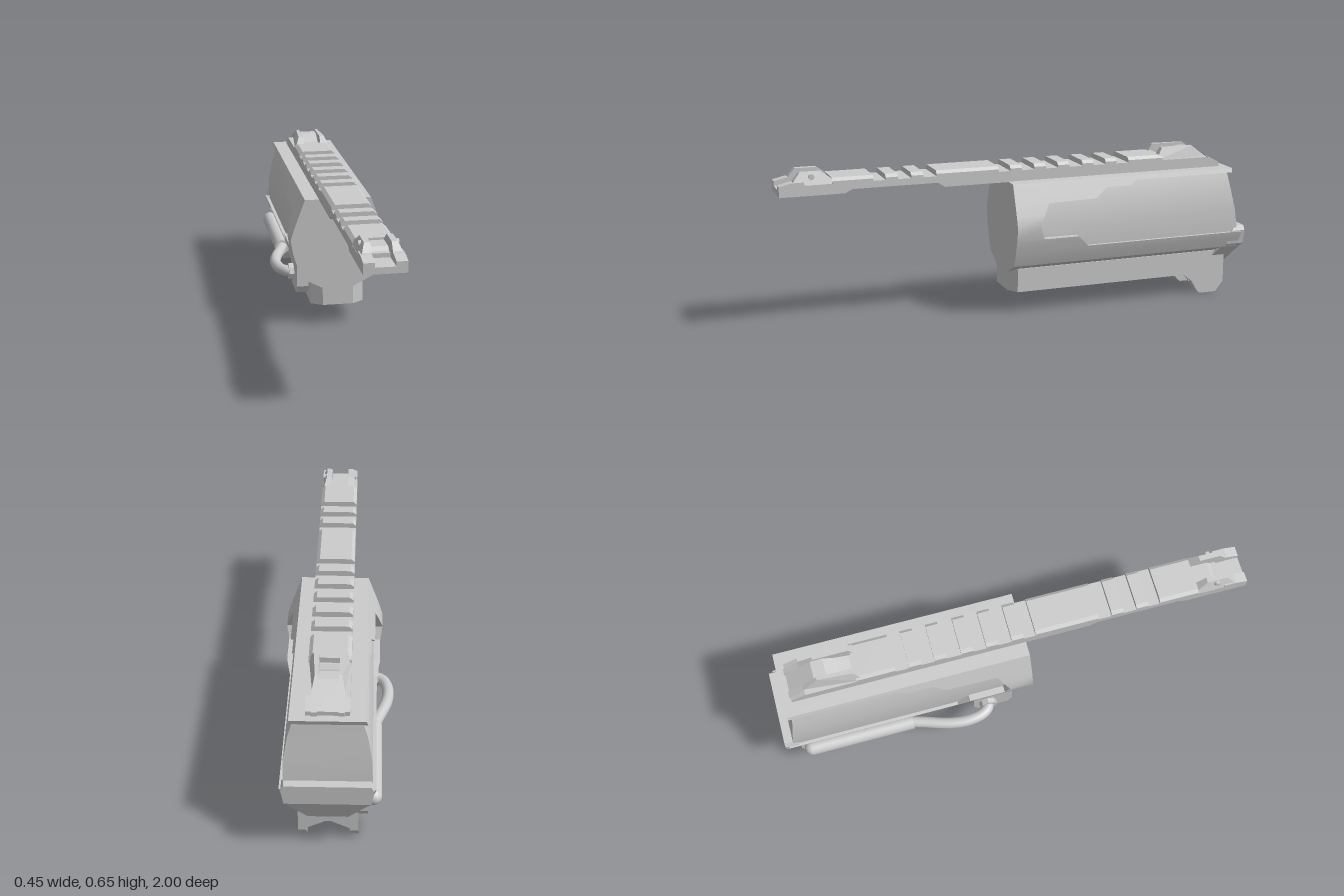
import * as THREE from 'three';
import { toCreasedNormals } from 'three/addons/utils/BufferGeometryUtils.js';

const CX = 0.024; // symmetry plane of the main body
const material = new THREE.MeshStandardMaterial({ color: 0xcccccc });

function part(parent, name, geometry) {
  const mesh = new THREE.Mesh(geometry, material);
  mesh.name = name;
  parent.add(mesh);
  return mesh;
}

// Stack of rectangles, bottom to top: [y, half width, front z, back z]
function stack(rows) {
  const pos = [];
  const rings = rows.map(([y, h, f, b]) => [[h, y, f], [h, y, b], [-h, y, b], [-h, y, f]]);
  const quad = (a, b, c, d) => pos.push(...a, ...b, ...c, ...a, ...c, ...d);
  for (let i = 0; i < rings.length - 1; i++) {
    const lo = rings[i], hi = rings[i + 1];
    for (let k = 0; k < 4; k++) {
      const n = (k + 1) % 4;
      quad(lo[k], lo[n], hi[n], hi[k]);
    }
  }
  quad(...rings[rings.length - 1]);
  quad(...[...rings[0]].reverse());
  const g = new THREE.BufferGeometry();
  g.setAttribute('position', new THREE.Float32BufferAttribute(pos, 3));
  return toCreasedNormals(g, 0.5);
}

// Side outline of [z, y] points, extruded across x and centred on x
function slab(points, width, x = 0) {
  const shape = new THREE.Shape(points.map(([z, y]) => new THREE.Vector2(z, y)));
  const g = new THREE.ExtrudeGeometry(shape, { depth: width, bevelEnabled: false });
  return g.rotateY(-Math.PI / 2).translate(x + width / 2, 0, 0);
}

// Half width of the outer shell at height y
const PROFILE = [[0.17, 0.07], [0.213, 0.152], [0.26, 0.171], [0.325, 0.19], [0.383, 0.2], [0.43, 0.186], [0.48, 0.168], [0.558, 0.139]];
function shellHalf(y) {
  for (let i = 1; i < PROFILE.length; i++) {
    const [y0, h0] = PROFILE[i - 1], [y1, h1] = PROFILE[i];
    if (y <= y1) return h0 + (h1 - h0) * (y - y0) / (y1 - y0);
  }
  return 0.139;
}

function addBody(g) {
  // Shell: the back edge steps forward around the recessed side panel
  const edge = [[0.17, -0.95], [0.213, -0.97], [0.26, -0.98], [0.282, -0.985], [0.2825, -0.26],
    [0.325, -0.215], [0.33, -0.21], [0.3305, -0.06], [0.383, -0.04], [0.43, -0.063], [0.475, -0.085],
    [0.48, -0.3], [0.52, -0.35], [0.5205, -0.46], [0.54, -0.49], [0.5405, -0.94], [0.558, -0.945]];
  part(g, 'outerShell', stack(edge.map(([y, z]) => [y, shellHalf(y), 0.06, z])));
  part(g, 'innerCore', stack([[0.25, 0.163, 0, -0.97], [0.3, 0.164, 0, -0.965], [0.383, 0.162, 0, -0.953],
    [0.48, 0.145, 0, -0.935], [0.545, 0.125, 0, -0.925]]));
  part(g, 'rearLip', stack([[0.12, 0.075, -0.85, -0.945], [0.21, 0.148, -0.9, -0.99],
    [0.225, 0.16, -0.92, -1], [0.285, 0.17, -0.94, -1], [0.305, 0.16, -0.955, -1]]));
}

function addUnderbody(g) {
  // Keel with chamfered front corners
  const plan = new THREE.Shape([[-0.065, 0.06], [0.065, 0.06], [0.113, 0.03], [0.113, -0.935], [-0.113, -0.935], [-0.113, 0.03]]
    .map(([x, z]) => new THREE.Vector2(x, -z)));
  part(g, 'keel', new THREE.ExtrudeGeometry(plan, { depth: 0.1, bevelEnabled: false })
    .rotateX(-Math.PI / 2).translate(0, 0.09, 0));
  // Feet at the back, with an inverted V between them
  const foot = [[-0.72, 0.1], [-0.74, 0.09], [-0.78, 0.06], [-0.81, 0.01], [-0.825, 0], [-0.9, 0], [-0.935, 0.045], [-0.935, 0.11]];
  for (const s of [-1, 1]) {
    part(g, s > 0 ? 'leftFoot' : 'rightFoot', slab(foot, 0.032, s * 0.097));
    const web = new THREE.Shape([[0, 0.09], [s * 0.082, 0.05], [s * 0.082, 0.092]].map(([x, y]) => new THREE.Vector2(x, y)));
    part(g, 'footWeb', new THREE.ExtrudeGeometry(web, { depth: 0.15, bevelEnabled: false }).translate(0, 0, -0.93));
  }
}

function addRail(g) {
  part(g, 'railBase', slab([[0.9, 0.56], [0.74, 0.56], [0.71, 0.575], [0.36, 0.575], [0.33, 0.556],
    [-0.91, 0.556], [-0.91, 0.575], [-0.85, 0.602], [0.9, 0.602]], 0.16));
  part(g, 'railNose', stack([[0.56, 0.08, 1, 0.9], [0.585, 0.08, 1, 0.9]]));
  for (const s of [-1, 1])
    part(g, 'noseCheek', slab([[1, 0.585], [1, 0.603], [0.95, 0.615], [0.9, 0.615], [0.9, 0.585]], 0.042, s * 0.059));
  // Raised ribs: [front z, back z]
  const ribs = [[0.79, 0.625], [0.365, 0.1], [-0.48, -0.64]];
  for (const z of [0.575, 0.47, 0.05, -0.055, -0.16, -0.27, -0.375]) ribs.push([z, z - 0.05]);
  for (const [f, b] of ribs)
    part(g, 'railRib', stack([[0.6, 0.08, f, b], [0.612, 0.08, f, b], [0.624, 0.066, f, b]]));
}

function addSights(g) {
  const ear = (name, outline, s, backTaper) => {
    const geo = slab(outline, 0.042, 0.059);
    const p = geo.attributes.position;
    // Lean the outer wall inward with height, and toward the back if tapered
    for (let i = 0; i < p.count; i++) {
      const y = p.getY(i), z = p.getZ(i);
      const lean = Math.max(0, y - 0.6) * 0.38;
      const taper = backTaper ? Math.max(0, -0.64 - z) * 0.07 : 0;
      if (p.getX(i) > 0.06) p.setX(i, p.getX(i) - lean - taper);
      p.setX(i, p.getX(i) * s);
    }
    // Restore winding on the mirrored side
    if (s < 0) for (let i = 0; i < p.count; i += 3) {
      const a = new THREE.Vector3().fromBufferAttribute(p, i + 1);
      const b = new THREE.Vector3().fromBufferAttribute(p, i + 2);
      p.setXYZ(i + 1, b.x, b.y, b.z);
      p.setXYZ(i + 2, a.x, a.y, a.z);
    }
    geo.computeVertexNormals();
    part(g, name, geo);
  };
  for (const s of [-1, 1]) {
    ear('frontSightEar', [[0.95, 0.6], [0.94, 0.62], [0.915, 0.65], [0.83, 0.65], [0.79, 0.62], [0.79, 0.6]], s, false);
    ear('rearSightEar', [[-0.61, 0.6], [-0.645, 0.652], [-0.79, 0.652], [-0.85, 0.61], [-0.915, 0.575], [-0.915, 0.558], [-0.64, 0.558]], s, true);
    const pin = part(g, 'sightPin', new THREE.CylinderGeometry(0.012, 0.012, 0.012, 12).rotateZ(Math.PI / 2));
    pin.position.set(s * 0.068, 0.632, 0.87);
  }
  part(g, 'frontSightBridge', slab([[0.88, 0.6], [0.86, 0.615], [0.79, 0.615], [0.79, 0.6]], 0.08));
  part(g, 'rearSightRamp', slab([[-0.64, 0.6], [-0.7, 0.613], [-0.75, 0.64], [-0.8, 0.64], [-0.91, 0.575], [-0.91, 0.56]], 0.09));
}

// Cylinder and bent hose along the right side
function addHose(root) {
  const g = new THREE.Group();
  g.name = 'sideHose';
  const y = 0.183, x = -0.143;
  const block = [[-0.02, 0.15], [-0.04, 0.117], [-0.17, 0.117], [-0.19, 0.15], [-0.19, 0.25], [-0.02, 0.25]];
  part(g, 'hoseBlock', slab(block, 0.055, -0.112));
  part(g, 'rearBracket', slab([[-0.85, 0.125], [-0.93, 0.125], [-0.945, 0.15], [-0.945, 0.24], [-0.85, 0.24]], 0.04, -0.105));
  part(g, 'hoseCollar', toCreasedNormals(new THREE.CylinderGeometry(0.037, 0.037, 0.022, 8).toNonIndexed(), 0.3)
    .rotateZ(Math.PI / 2).translate(-0.15, y, -0.13));
  part(g, 'hoseCylinder', new THREE.CylinderGeometry(0.033, 0.033, 0.44, 20).rotateX(Math.PI / 2).translate(x, y, -0.68));
  part(g, 'cylinderCap', new THREE.SphereGeometry(0.033, 20, 10).translate(x, y, -0.9));
  const path = new THREE.CatmullRomCurve3([[x, y, -0.47], [-0.158, y, -0.42], [-0.193, y, -0.31], [-0.201, y, -0.23],
    [-0.188, y, -0.165], [-0.165, y, -0.135], [-0.14, y, -0.13]].map((p) => new THREE.Vector3(...p)));
  part(g, 'hose', new THREE.TubeGeometry(path, 40, 0.024, 14));
  root.add(g);
}

export function createModel() {
  const root = new THREE.Group();
  root.name = 'railedModule';
  const main = new THREE.Group();
  main.name = 'mainBody';
  main.position.x = CX;
  root.add(main);
  addBody(main);
  addUnderbody(main);
  addRail(main);
  addSights(main);
  addHose(root);
  return root;
}
